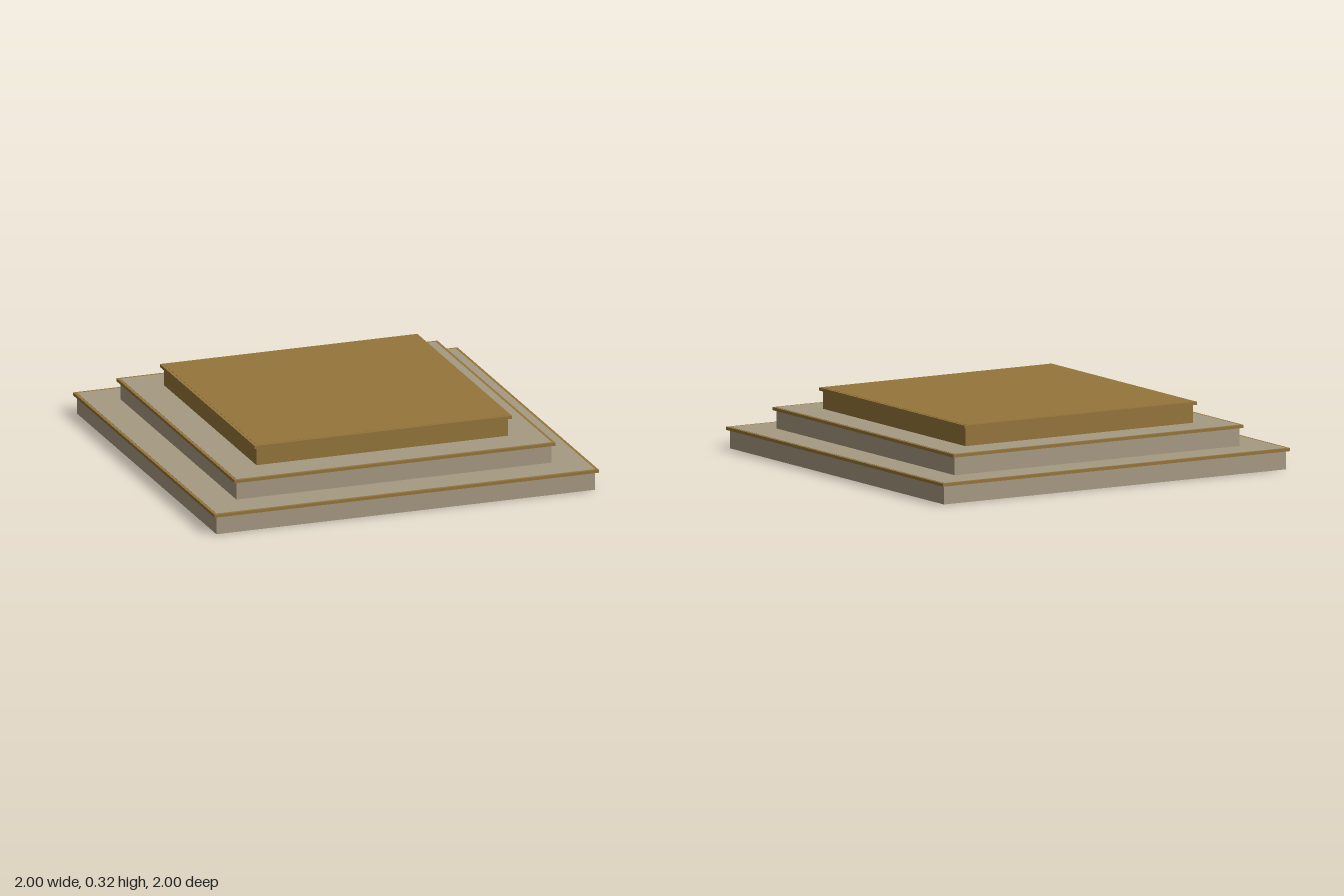
import * as THREE from 'three';

export function createModel() {
  const model = new THREE.Group();
  model.name = 'steppedPlatform';

  const stone = new THREE.MeshStandardMaterial({ color: 0xa69a82 });
  stone.name = 'stone grey';
  const bronze = new THREE.MeshStandardMaterial({ color: 0x95753a });
  bronze.name = 'bronze brown';

  const rise = 0.106; // height of one step
  const trimHeight = 0.015;
  const overhang = 0.015;

  // Square slab standing on a given height
  function slab(name, half, bottom, height, material, parent) {
    const mesh = new THREE.Mesh(new THREE.BoxGeometry(half * 2, height, half * 2), material);
    mesh.position.y = bottom + height / 2;
    mesh.name = name;
    parent.add(mesh);
  }

  const tiers = [
    { name: 'lowerStep', half: 0.985, material: stone },
    { name: 'middleStep', half: 0.82, material: stone },
    { name: 'topStep', half: 0.655, material: bronze },
  ];

  tiers.forEach(({ name, half, material }, i) => {
    const step = new THREE.Group();
    step.name = name;
    const bottom = i * rise;
    // Riser, its top surface showing just above the trim
    slab(name + 'Body', half, bottom, rise + 0.001, material, step);
    // Projecting edge trim
    slab(name + 'Trim', half + overhang, bottom + rise - trimHeight, trimHeight, bronze, step);
    model.add(step);
  });

  return model;
}
